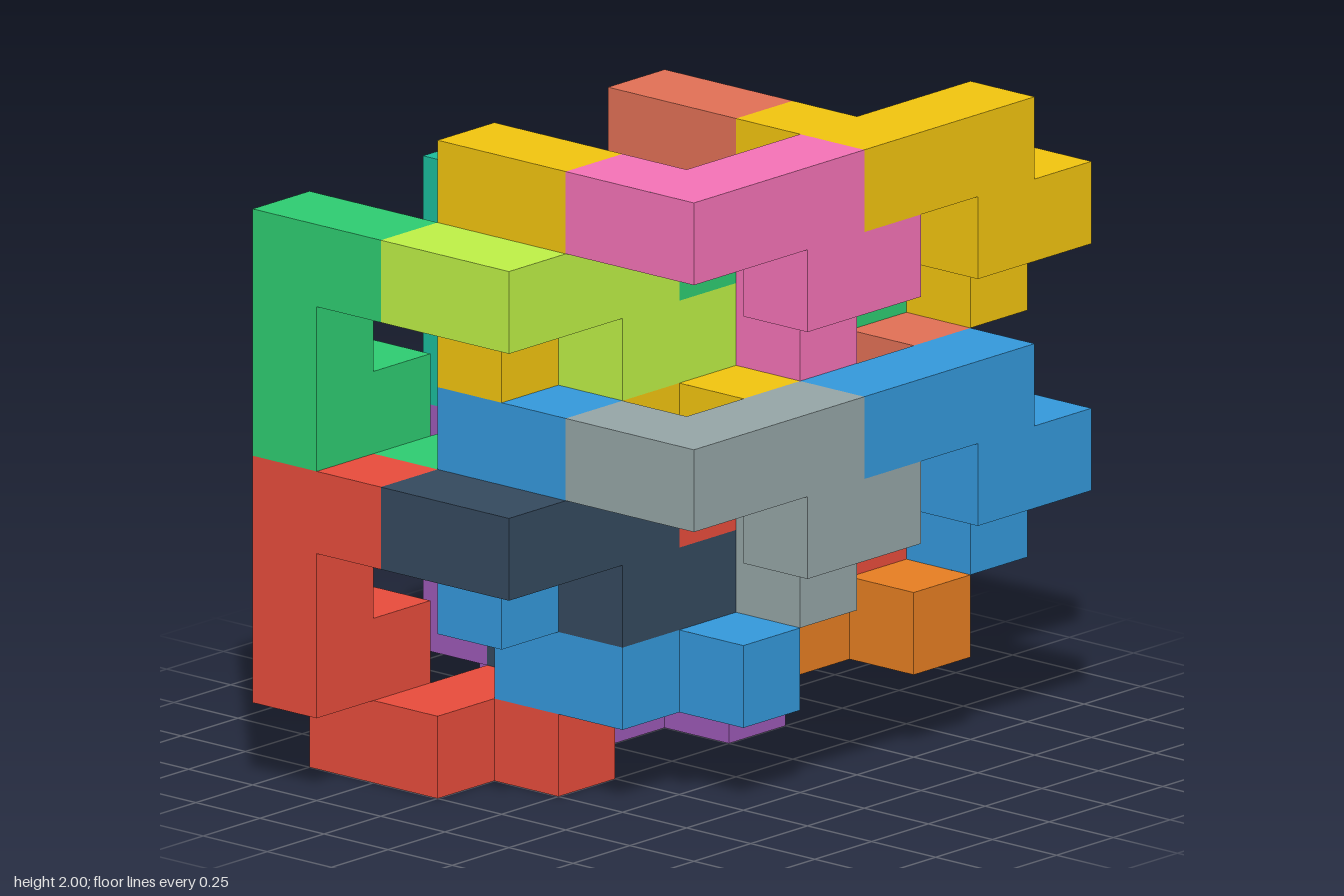
import * as THREE from 'three';
import { mergeGeometries } from 'three/addons/utils/BufferGeometryUtils.js';

const S = 0.25; // edge of one cube cell

const X = [1, 0, 0], Z = [0, 0, 1], DOWN = [0, -1, 0], BACK = [0, 0, -1];
const SIDES = [X, [-1, 0, 0], [0, 1, 0], DOWN, Z, BACK];

// The same nine-cell snake in two orientations, as steps from its first cell
const ACROSS = [Z, X, X, DOWN, X, BACK, DOWN, BACK];
const DESCENDING = [BACK, DOWN, DOWN, X, DOWN, Z, X, Z];

const PINK = 0xf472b6, YELLOW = 0xf1c40f, SALMON = 0xe17055, LIME = 0xbef046;
const GREEN = 0x2ecc71, TEAL = 0x1abc9c, GREY = 0x95a5a6, BLUE = 0x3498db;
const ORANGE = 0xe67e22, NAVY = 0x34495e, RED = 0xe74c3c, PURPLE = 0x9b59b6;

// Colours by tier, layer and column: [across, descending]
const COLORS = [
  [[[PINK, YELLOW], [YELLOW, SALMON]], [[LIME, GREEN], [GREEN, TEAL]]],
  [[[GREY, BLUE], [BLUE, ORANGE]], [[NAVY, RED], [RED, PURPLE]]],
];

const add = (a, b) => a.map((v, i) => v + b[i]);

// Closed skin around a chain of cells, without the walls between them
function snakeGeometry(start, steps) {
  const cells = [start];
  for (const step of steps) cells.push(add(cells[cells.length - 1], step));
  const filled = new Set(cells.map(String));
  const faces = [];
  for (const cell of cells) {
    const center = new THREE.Vector3(cell[0] - 3.5, cell[1] + 0.5, cell[2] - 2.5).multiplyScalar(S);
    for (const side of SIDES) {
      if (filled.has(String(add(cell, side)))) continue;
      const dir = new THREE.Vector3(...side);
      const face = new THREE.PlaneGeometry(S, S).lookAt(dir);
      const p = center.clone().addScaledVector(dir, S / 2);
      faces.push(face.translate(p.x, p.y, p.z));
    }
  }
  return mergeGeometries(faces);
}

export function createModel() {
  const model = new THREE.Group();
  model.name = 'interlockingBlocks';

  // Two tiers, two layers and two columns, each with a pair of snakes
  COLORS.forEach((layers, tier) => layers.forEach((columns, layer) => columns.forEach((pair, column) => {
    const offset = [3 * column - layer, -3 * tier - layer, -2 * layer];
    const place = ['upper', 'lower'][tier] + ['Front', 'Back'][layer] + ['Right', 'Left'][column];
    const snakes = [
      ['AcrossBlock', [1, 7, 4], ACROSS],
      ['DescendingBlock', [1, 7, 3], DESCENDING],
    ];
    snakes.forEach(([name, start, steps], i) => {
      const material = new THREE.MeshStandardMaterial({ color: pair[i] });
      const mesh = new THREE.Mesh(snakeGeometry(add(start, offset), steps), material);
      mesh.name = place + name;
      model.add(mesh);
    });
  })));

  return model;
}
